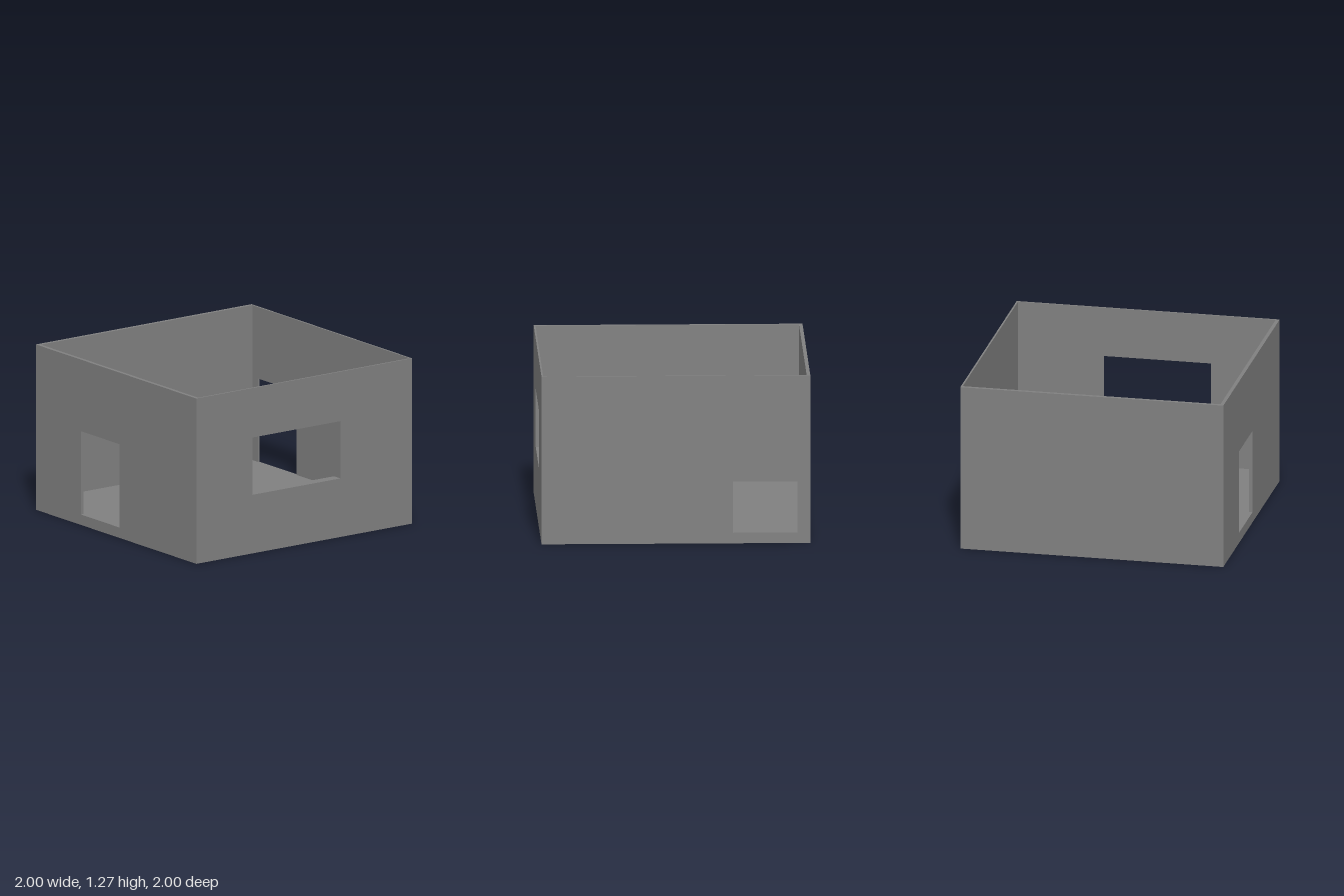
import * as THREE from 'three';

const HEIGHT = 1.27, FLOOR = 0.08;
// Inner faces of the four walls
const LEFT = 0.987, RIGHT = -0.973, FRONT = 0.987, BACK = -0.973;

export function createModel() {
  const house = new THREE.Group();
  house.name = 'roomShell';
  const grey = new THREE.MeshStandardMaterial({ color: 0x808080 });
  grey.name = 'plainGrey';

  const add = (name, geometry) => {
    const mesh = new THREE.Mesh(geometry, grey);
    mesh.name = name;
    house.add(mesh);
    return mesh;
  };

  // Box given by its two extreme corners
  const block = (name, x0, x1, y0, y1, z0, z1) =>
    add(name, new THREE.BoxGeometry(x1 - x0, y1 - y0, z1 - z0))
      .position.set((x0 + x1) / 2, (y0 + y1) / 2, (z0 + z1) / 2);

  // Upright wall panel with an optional rectangular opening
  const panel = (u0, u1, thickness, opening) => {
    const rect = (target, a, b, c, d) =>
      target.moveTo(a, c).lineTo(b, c).lineTo(b, d).lineTo(a, d).closePath();
    const shape = rect(new THREE.Shape(), u0, u1, 0, HEIGHT);
    if (opening) shape.holes.push(rect(new THREE.Path(), ...opening));
    return new THREE.ExtrudeGeometry(shape, { depth: thickness, bevelEnabled: false });
  };

  // Front wall with window, solid back wall
  add('frontWall', panel(-1, 1, 1 - FRONT, [-0.48, 0.335, 0.45, 0.89])).position.z = FRONT;
  add('backWall', panel(-1, 1, BACK + 1)).position.z = -1;

  // Side walls with a doorway each; the panel runs along -z after turning
  const sideWall = (name, x, thickness, z0, z1) =>
    add(name, panel(-FRONT, -BACK, thickness, [-z1, -z0, FLOOR, 0.72])
      .rotateY(Math.PI / 2)).position.x = x;
  sideWall('leftWall', LEFT, 1 - LEFT, -0.905, -0.425);
  sideWall('rightWall', -1, RIGHT + 1, -0.44, 0.04);

  // Floor slab between the walls
  block('floor', RIGHT, LEFT, 0, FLOOR, BACK, FRONT);

  // Inside window ledge and the thin apron under it
  block('windowLedge', -0.48, 0.335, 0.4, 0.45, 0.92, FRONT);
  block('ledgeApron', -0.48, 0.335, 0.33, 0.4, 0.977, FRONT);

  return house;
}
